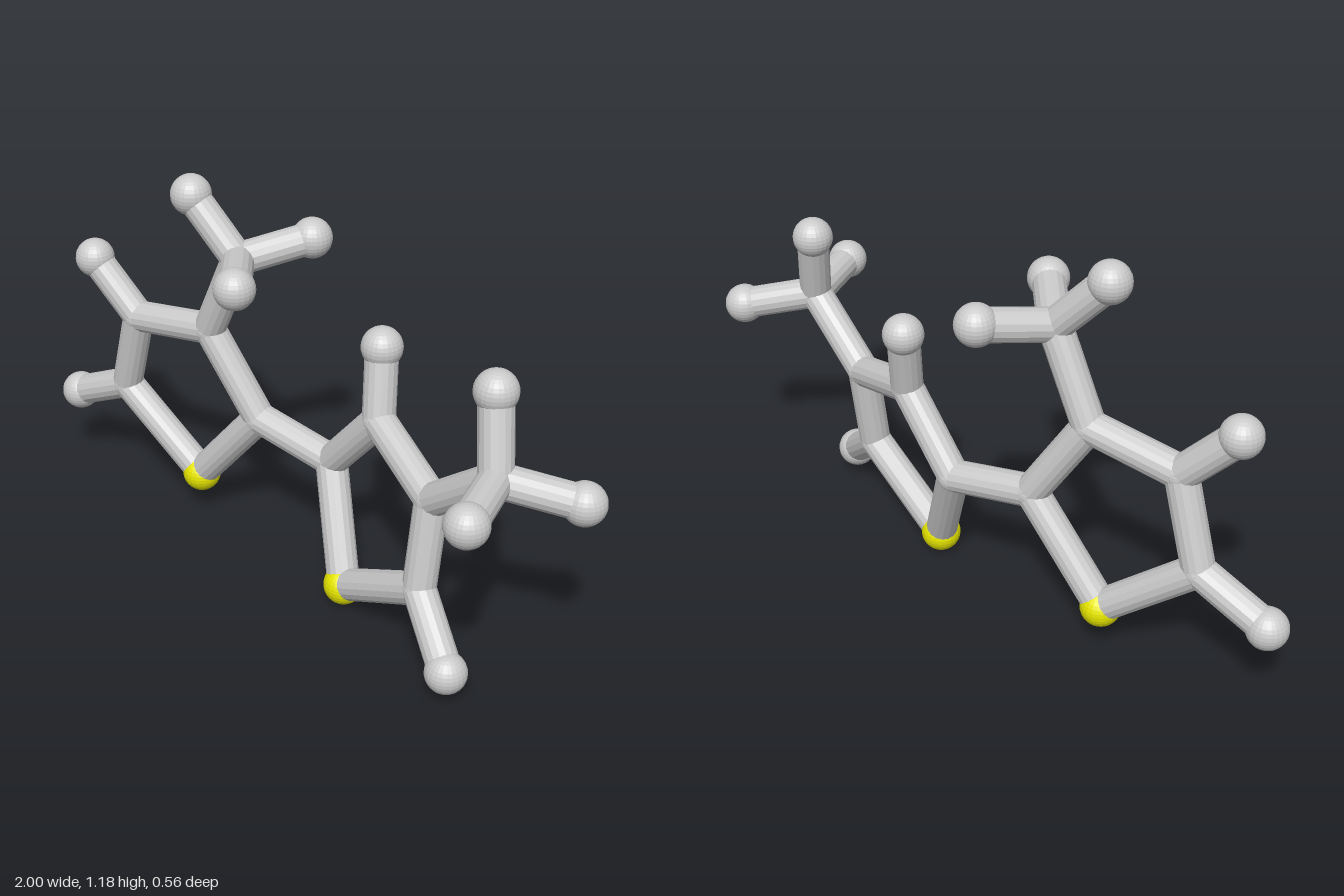
import * as THREE from 'three';

const BALL = 0.06, STICK = 0.048;

// Ring corners run: joining corner, shoulder, shoulder, low corner, yellow corner
const leftRing = [
  [-0.205, 0.43, -0.07], [-0.365, 0.69, -0.02], [-0.645, 0.645, 0.025], [-0.73, 0.375, 0.016], [-0.45, 0.14, -0.045],
];
const rightRing = [
  [0.06, 0.38, -0.112], [0.25, 0.6, -0.105], [0.53, 0.505, -0.02], [0.535, 0.235, 0.02], [0.21, 0.06, -0.018],
];

// Three-armed branches: hub and the ends of its arms
const leftBranch = { hub: [-0.24, 0.955, -0.025], ends: [[-0.39, 1.12, 0.015], [-0.138, 0.995, -0.22], [-0.072, 0.975, 0.14]] };
const rightBranch = { hub: [0.76, 0.685, 0.003], ends: [[0.707, 0.905, -0.04], [0.85, 0.69, 0.22], [0.94, 0.635, -0.135]] };

export function createModel() {
  const model = new THREE.Group();
  const grey = new THREE.MeshStandardMaterial({ color: 0xcccccc, flatShading: true });
  const yellow = new THREE.MeshStandardMaterial({ color: 0xe6e600, flatShading: true });
  const up = new THREE.Vector3(0, 1, 0);

  function ball(parent, name, p, radius = BALL, material = grey) {
    const mesh = new THREE.Mesh(new THREE.SphereGeometry(radius, 24, 16), material);
    mesh.name = name;
    mesh.position.set(...p);
    parent.add(mesh);
  }

  function stick(parent, name, p, q) {
    const a = new THREE.Vector3(...p), b = new THREE.Vector3(...q);
    const dir = b.clone().sub(a);
    const mesh = new THREE.Mesh(new THREE.CylinderGeometry(STICK, STICK, dir.length(), 16), grey);
    mesh.name = name;
    mesh.position.copy(a).add(b).multiplyScalar(0.5);
    mesh.quaternion.setFromUnitVectors(up, dir.normalize());
    parent.add(mesh);
  }

  function group(name) {
    const g = new THREE.Group();
    g.name = name;
    model.add(g);
    return g;
  }

  // Five-sided ring with smooth joints and one yellow corner
  function ring(name, corners) {
    const g = group(name);
    corners.forEach((p, i) => {
      stick(g, 'ringStick', p, corners[(i + 1) % 5]);
      if (i < 4) ball(g, 'ringJoint', p, STICK * 1.02);
      else ball(g, 'yellowBall', p, BALL, yellow);
    });
  }

  // Stem from the ring to a hub with three ball-ended arms
  function branch(name, root, { hub, ends }) {
    const g = group(name);
    stick(g, 'stem', root, hub);
    ball(g, 'hub', hub, STICK * 1.02);
    for (const end of ends) {
      stick(g, 'arm', hub, end);
      ball(g, 'armBall', end);
    }
  }

  // Single ball-ended arm
  function spoke(name, root, end) {
    const g = group(name);
    stick(g, 'arm', root, end);
    ball(g, 'armBall', end);
  }

  ring('leftwardRing', leftRing);
  ring('rightwardRing', rightRing);
  stick(model, 'bridgeStick', leftRing[0], rightRing[0]);

  branch('upperBranch', leftRing[1], leftBranch);
  branch('sideBranch', rightRing[2], rightBranch);

  spoke('upperSpoke', leftRing[2], [-0.795, 0.805, 0.065]);
  spoke('lowerSpoke', leftRing[3], [-0.94, 0.275, 0.048]);
  spoke('middleSpoke', rightRing[1], [0.215, 0.803, -0.147]);
  spoke('footSpoke', rightRing[3], [0.713, 0.09, 0.1]);

  return model;
}
